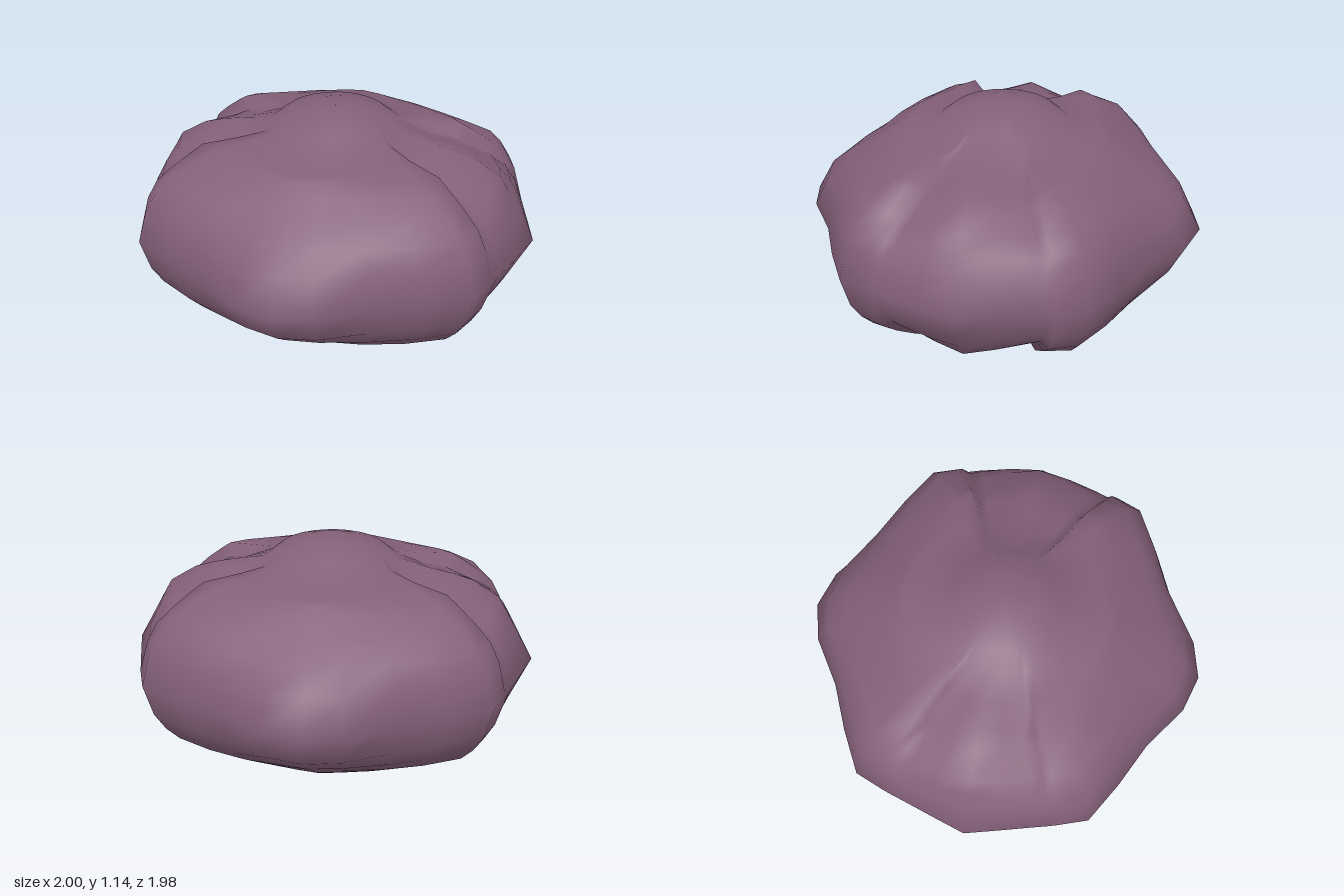
import * as THREE from 'three';

// One quadrant of directions (degrees from +x to +z); the other three are mirrored
const ANGLES = [0, 10, 20, 24, 26.5, 35, 48, 63, 79, 90];
const MID = 0.56;

// Half profile above the equator: height over the equator, then one radius per direction
const RINGS = [
  [0.0, 1.0, 0.966, 0.961, 0.968, 0.973, 1.0, 0.925, 0.886, 0.957, 0.99],
  [0.16, 0.91, 0.905, 0.91, 0.915, 0.93, 0.955, 0.88, 0.84, 0.88, 0.9],
  [0.25, 0.86, 0.86, 0.86, 0.86, 0.88, 0.9, 0.83, 0.785, 0.78, 0.79],
  [0.32, 0.82, 0.8, 0.785, 0.775, 0.8, 0.835, 0.765, 0.71, 0.68, 0.685],
  [0.4, 0.69, 0.66, 0.645, 0.64, 0.69, 0.685, 0.62, 0.585, 0.565, 0.57],
  [0.43, 0.59, 0.585, 0.6, 0.6, 0.645, 0.61, 0.55, 0.525, 0.52, 0.525],
  [0.452, 0.48, 0.47, 0.47, 0.47, 0.47, 0.47, 0.47, 0.47, 0.48, 0.49],
  [0.475, 0.335, 0.335, 0.335, 0.335, 0.335, 0.335, 0.335, 0.335, 0.335, 0.335],
];
// The x panels sag beside the raised corners: height factor per direction
const SAG = [1, 0.93, 0.88, 0.865, 1, 1, 1, 1, 1, 1];

const round = (h, r) => [h, ...ANGLES.map(() => r)];
const DOME = [round(0.54, 0.255), round(0.58, 0.12), round(0.583, 0.001)];
// Collar opening, slightly wider along z
const COLLAR = [[-0.56, ...ANGLES.map((a) => 0.21 + (0.03 * a) / 90)]];

// Spread a quadrant row around the full circle
function ringPoints([h, ...radii]) {
  const pts = [];
  const last = ANGLES.length - 1;
  for (let q = 0; q < 4; q++) {
    for (let k = 0; k < last; k++) {
      const i = q % 2 ? last - k : k;
      const deg = q % 2 ? 90 * (q + 1) - ANGLES[i] : 90 * q + ANGLES[i];
      const a = THREE.MathUtils.degToRad(deg);
      const r = radii[i];
      // The sag fades out towards the round dome and collar
      const sag = 1 + (SAG[i] - 1) * THREE.MathUtils.smoothstep(r, 0.335, 0.55);
      pts.push(r * Math.cos(a), MID + h * sag, r * Math.sin(a));
    }
  }
  return pts;
}

export function createModel() {
  const mauve = new THREE.MeshStandardMaterial({ color: 0x84607a, side: THREE.DoubleSide });
  mauve.name = 'mauve';
  const brown = new THREE.MeshStandardMaterial({ color: 0x584d3c, side: THREE.DoubleSide });
  brown.name = 'dark olive brown';

  // Rows from the open collar underneath up to the dome on top
  const lower = RINGS.slice(1).reverse().map(([h, ...r]) => [-h, ...r]);
  const rows = [...COLLAR, ...lower, ...RINGS, ...DOME];
  const n = 4 * (ANGLES.length - 1);
  const index = [];
  for (let j = 0; j < rows.length - 1; j++) {
    for (let i = 0; i < n; i++) {
      const a = j * n + i, b = j * n + (i + 1) % n;
      index.push(a, a + n, b, b, a + n, b + n);
    }
  }
  const geo = new THREE.BufferGeometry();
  geo.setAttribute('position', new THREE.Float32BufferAttribute(rows.flatMap(ringPoints), 3));
  geo.setIndex(index);
  geo.computeVertexNormals();

  // The three lowest bands form the brown skirt around the opening
  const skirt = 3 * n * 6;
  geo.addGroup(0, skirt, 0);
  geo.addGroup(skirt, index.length - skirt, 1);

  const shell = new THREE.Mesh(geo, [brown, mauve]);
  shell.name = 'hollowShell';
  const group = new THREE.Group();
  group.name = 'hexagonalPod';
  group.add(shell);
  return group;
}
